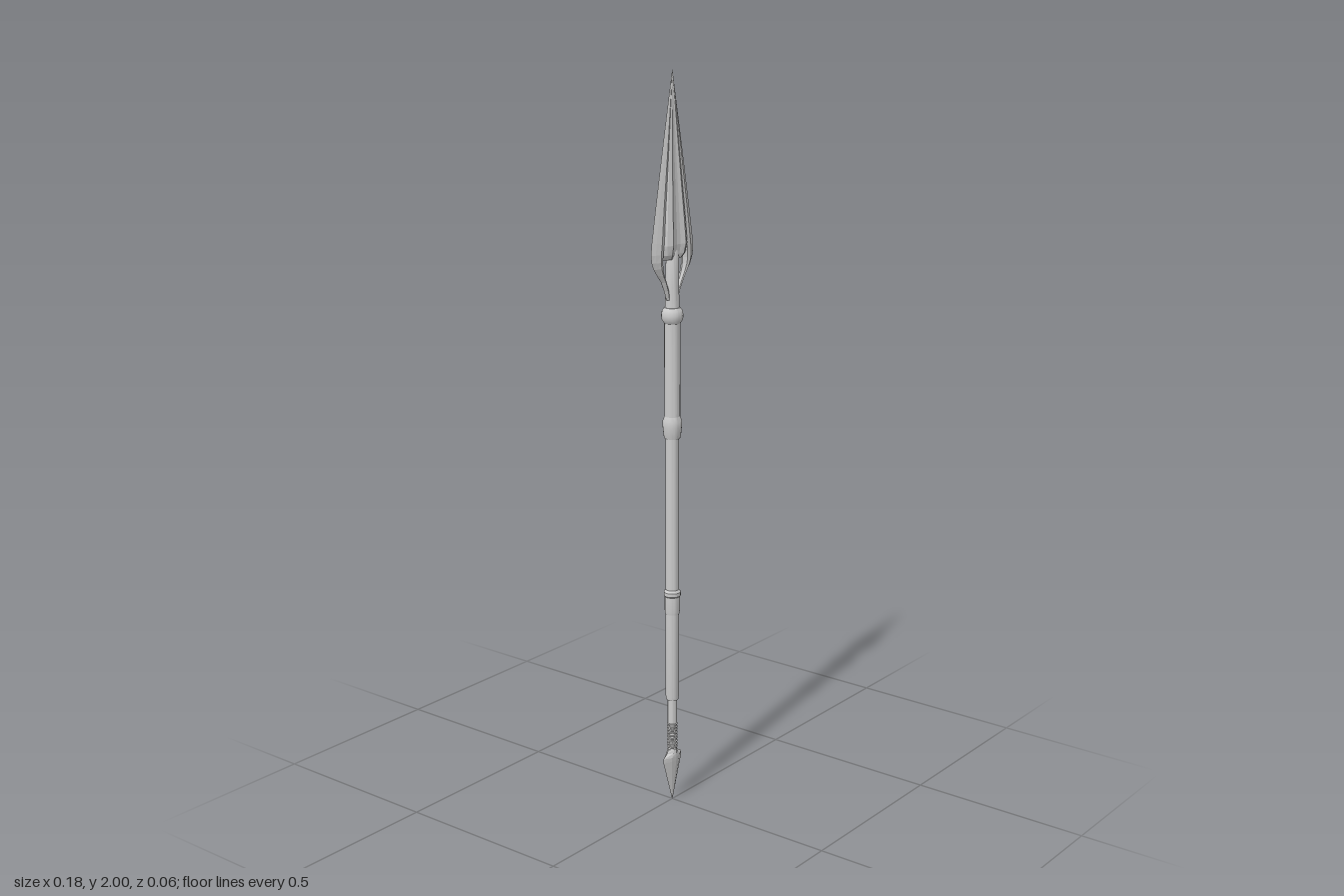
import * as THREE from 'three';
import { toCreasedNormals } from 'three/addons/utils/BufferGeometryUtils.js';

const material = new THREE.MeshStandardMaterial({ color: 0xcccccc });
const facetMaterial = new THREE.MeshStandardMaterial({ color: 0xcccccc, flatShading: true });

// Skins rings of [x, y, z] points, ordered counterclockwise from above, bottom ring first
function loft(rings) {
  const n = rings[0].length;
  const index = [];
  for (let r = 0; r < rings.length - 1; r++) {
    for (let i = 0; i < n; i++) {
      const j = (i + 1) % n;
      const a = r * n + i, b = r * n + j, c = b + n, d = a + n;
      index.push(a, b, c, a, c, d);
    }
  }
  const top = (rings.length - 1) * n;
  for (let i = 1; i < n - 1; i++) {
    index.push(0, i + 1, i, top, top + i, top + i + 1);
  }
  const geometry = new THREE.BufferGeometry();
  geometry.setAttribute('position', new THREE.Float32BufferAttribute(rings.flat(2), 3));
  geometry.setIndex(index);
  const flat = geometry.toNonIndexed();
  flat.computeVertexNormals();
  return flat;
}

// Mirrors a quarter outline (from x = 0 out to the side edge) into a closed section
function closedSection(quarter) {
  const backRight = quarter.map(([x, z]) => [x, -z]).reverse();
  const backLeft = quarter.map(([x, z]) => [-x, -z]);
  const frontLeft = quarter.map(([x, z]) => [-x, z]).reverse();
  return [...backRight, ...backLeft.slice(1), ...frontLeft, ...quarter.slice(1)];
}

export function createModel() {
  const group = new THREE.Group();
  const add = (name, geometry, mat = material) => {
    const mesh = new THREE.Mesh(geometry, mat);
    mesh.name = name;
    group.add(mesh);
    return mesh;
  };
  const turned = (name, profile, sides = 20) => {
    const points = profile.map(([r, y]) => new THREE.Vector2(r, y));
    add(name, toCreasedNormals(new THREE.LatheGeometry(points, sides), 0.6));
  };

  // Shaft sections, bottom to top
  turned('gripRod', [[0, 0.13], [0.0125, 0.13], [0.0125, 0.31], [0, 0.31]]);
  turned('lowerShaft', [[0, 0.3], [0.0165, 0.3], [0.018, 0.31], [0.018, 0.56], [0, 0.56]]);
  turned('lowerSleeve', [[0, 0.55], [0.019, 0.55], [0.0205, 0.56], [0.0205, 0.6],
    [0.023, 0.603], [0.023, 0.613], [0.018, 0.62], [0, 0.62]]);
  turned('middleShaft', [[0, 0.61], [0.018, 0.61], [0.018, 1.06], [0, 1.06]]);
  turned('middleSleeve', [[0, 1.043], [0.021, 1.043], [0.023, 1.05], [0.0255, 1.075],
    [0.0255, 1.09], [0.021, 1.103], [0, 1.103]]);
  turned('upperShaft', [[0, 1.09], [0.021, 1.09], [0.021, 1.365], [0, 1.365]]);
  turned('collar', [[0, 1.353], [0.022, 1.353], [0.028, 1.362], [0.029, 1.374],
    [0.027, 1.386], [0.021, 1.394], [0, 1.394]]);
  turned('neck', [[0, 1.385], [0.019, 1.385], [0.0175, 1.45], [0.0165, 1.54], [0, 1.58]]);

  // Ribs wound round the grip rod
  for (let i = 0; i < 9; i++) {
    const rib = add('gripRib', new THREE.TorusGeometry(0.0125, 0.0025, 6, 20));
    rib.rotation.x = Math.PI / 2;
    rib.position.y = 0.16 + i * 0.0085;
  }

  // Flattened butt spike: [height, half width, half depth]
  const spikeRows = [[0, 0.001, 0.0005], [0.12, 0.039, 0.014], [0.132, 0.04, 0.015],
    [0.143, 0.023, 0.015], [0.153, 0.017, 0.014]];
  const spikeSection = closedSection([[0, 1], [0.4, 0.8], [1, 0]]);
  add('buttSpike', loft(spikeRows.map(([y, w, d]) =>
    spikeSection.map(([x, z]) => [x * w, y, z * d]))), facetMaterial);

  // Fluted blade core: [height, width scale, depth scale]
  const coreRows = [[1.522, 0.72, 0.5], [1.535, 0.92, 0.8], [1.56, 1, 1], [1.62, 0.9, 0.86],
    [1.8, 0.5, 0.42], [1.9, 0.26, 0.22], [2, 0.005, 0.01]];
  const coreSection = closedSection(
    [[0, 0.016], [0.012, 0.018], [0.026, 0.025], [0.041, 0.017], [0.053, 0]]);
  add('bladeCore', loft(coreRows.map(([y, w, d]) =>
    coreSection.map(([x, z]) => [x * w, y, z * d]))), facetMaterial);

  // Cutting edges sweeping down into barbs: [height, inner x, outer x, half depth]
  const wingRows = [[1.415, 0.012, 0.024, 0.005], [1.44, 0.018, 0.034, 0.007],
    [1.465, 0.029, 0.046, 0.009], [1.485, 0.038, 0.063, 0.01], [1.503, 0.042, 0.077, 0.012],
    [1.52, 0.043, 0.085, 0.013], [1.54, 0.041, 0.088, 0.0135], [1.57, 0.036, 0.0845, 0.0135],
    [1.65, 0.03, 0.07, 0.011], [1.8, 0.016, 0.041, 0.007], [1.9, 0.008, 0.021, 0.004],
    [2, 0, 0.0005, 0.0003]];
  const wingSection = [[1, 0], [0.75, -0.5], [0.45, -1], [0.2, -0.8], [0, 0],
    [0.2, 0.8], [0.45, 1], [0.75, 0.5]];
  for (const side of [1, -1]) {
    const rings = wingRows.map(([y, inner, outer, d]) => {
      const ring = wingSection.map(([t, z]) => [side * (inner + t * (outer - inner)), y, z * d]);
      return side > 0 ? ring : ring.reverse();
    });
    add(side > 0 ? 'leftBarb' : 'rightBarb', loft(rings), facetMaterial);
  }

  return group;
}
